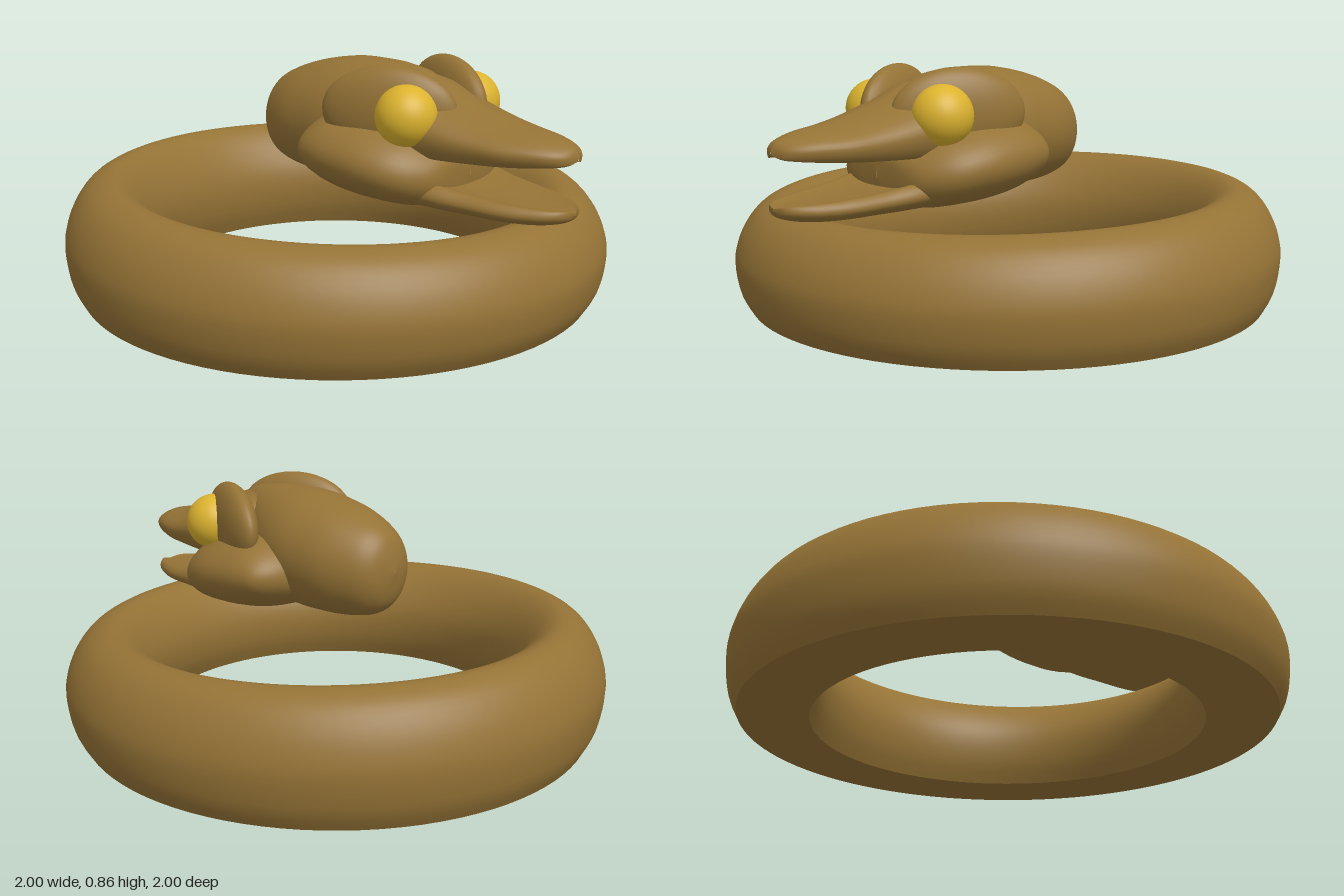
import * as THREE from 'three';
import { toCreasedNormals } from 'three/addons/utils/BufferGeometryUtils.js';

const skin = new THREE.MeshStandardMaterial({ color: 0x957336 });
skin.name = 'brown skin';
const yellow = new THREE.MeshStandardMaterial({ color: 0xdcb32f });
yellow.name = 'yellow eye';

function part(name, geometry, material = skin) {
  const mesh = new THREE.Mesh(geometry, material);
  mesh.name = name;
  return mesh;
}

// Smooth body along z. Each section is [z, halfWidth, yBottom, yTop].
// topPower / bottomPower: below 1 is boxy, above 1 is pinched.
// dentTop / dentBottom hollow out that side, as a share of the height.
function loft(sections, { topPower = 1, bottomPower = 1, dentTop = 0, dentBottom = 0 } = {}) {
  const widths = new THREE.CatmullRomCurve3(
    sections.map(([z, w]) => new THREE.Vector3(z, w, 0)), false, 'catmullrom', 0.5);
  const heights = new THREE.CatmullRomCurve3(
    sections.map(([z, , b, t]) => new THREE.Vector3(z, b, t)), false, 'catmullrom', 0.5);
  const rows = (sections.length - 1) * 6, cols = 48;
  const positions = [], index = [];
  for (let i = 0; i <= rows; i++) {
    const { x: z, y: w } = widths.getPoint(i / rows);
    const { y: low, z: high } = heights.getPoint(i / rows);
    for (let j = 0; j < cols; j++) {
      const a = (j / cols) * Math.PI * 2, c = Math.cos(a), s = Math.sin(a);
      const power = s > 0 ? topPower : bottomPower;
      const dent = s > 0 ? dentTop : dentBottom;
      const x = Math.max(w, 0) * Math.sign(c) * Math.abs(c) ** power;
      const hollow = dent * Math.max(0, 1 - (c / 0.75) ** 2);
      positions.push(x, (low + high) / 2 + ((high - low) / 2) * (s - Math.sign(s) * hollow), z);
      if (i < rows) {
        const p = i * cols + j, q = i * cols + ((j + 1) % cols);
        index.push(p, q, p + cols, q, q + cols, p + cols);
      }
    }
  }
  const geometry = new THREE.BufferGeometry();
  geometry.setAttribute('position', new THREE.Float32BufferAttribute(positions, 3));
  geometry.setIndex(index);
  geometry.computeVertexNormals();
  return geometry;
}

// Ring body with a flat base, slightly taller at the back
function coil() {
  const side = new THREE.SplineCurve([
    [0.95, 0], [0.985, 0.07], [1, 0.17], [0.99, 0.24], [0.96, 0.31], [0.91, 0.37], [0.84, 0.4],
    [0.78, 0.385], [0.72, 0.33], [0.675, 0.25], [0.66, 0.17], [0.67, 0.08], [0.7, 0],
  ].map(([r, y]) => new THREE.Vector2(r, y))).getPoints(40);
  const geometry = new THREE.LatheGeometry([new THREE.Vector2(0.7, 0), ...side], 96);
  const p = geometry.attributes.position;
  for (let i = 0; i < p.count; i++) p.setY(i, p.getY(i) * (1 - 0.08 * p.getZ(i)));
  return toCreasedNormals(geometry, 0.7);
}

export function createModel() {
  const model = new THREE.Group();
  model.add(part('coiledBody', coil()));

  // Rounded neck behind the head
  model.add(part('neck', loft([
    [-0.29, 0.001, 0.6, 0.61], [-0.275, 0.07, 0.52, 0.68], [-0.25, 0.115, 0.47, 0.73],
    [-0.2, 0.155, 0.435, 0.77], [-0.1, 0.2, 0.415, 0.81], [0, 0.217, 0.41, 0.835],
    [0.1, 0.22, 0.41, 0.85], [0.2, 0.2, 0.42, 0.852], [0.32, 0.15, 0.45, 0.845],
    [0.45, 0.08, 0.55, 0.81], [0.5, 0.001, 0.65, 0.7],
  ])));

  // Wide cheeks and back of the jaw
  model.add(part('cheeks', loft([
    [0.03, 0.001, 0.55, 0.57], [0.04, 0.2, 0.5, 0.62], [0.09, 0.31, 0.45, 0.67],
    [0.17, 0.347, 0.41, 0.71], [0.27, 0.357, 0.39, 0.71], [0.38, 0.35, 0.383, 0.69],
    [0.48, 0.315, 0.383, 0.655], [0.55, 0.25, 0.4, 0.61], [0.59, 0.16, 0.43, 0.57],
    [0.6, 0.001, 0.49, 0.52],
  ], { topPower: 0.9, bottomPower: 0.85 })));

  // Upper jaw: ridged snout with a hollow palate
  model.add(part('upperJaw', loft([
    [0.2, 0.001, 0.6, 0.7], [0.3, 0.19, 0.52, 0.82], [0.45, 0.22, 0.52, 0.81],
    [0.58, 0.205, 0.53, 0.755], [0.7, 0.18, 0.54, 0.715], [0.8, 0.16, 0.55, 0.69],
    [0.89, 0.125, 0.56, 0.675], [0.95, 0.09, 0.57, 0.658], [0.985, 0.05, 0.58, 0.64],
    [1, 0.001, 0.6, 0.615],
  ], { topPower: 1.35, bottomPower: 0.6, dentBottom: 0.5 })));

  // Lower jaw: shallow scoop with a raised rim
  model.add(part('lowerJaw', loft([
    [0.35, 0.001, 0.44, 0.46], [0.4, 0.2, 0.39, 0.52], [0.55, 0.215, 0.383, 0.515],
    [0.68, 0.185, 0.38, 0.49], [0.8, 0.16, 0.378, 0.475], [0.89, 0.125, 0.382, 0.465],
    [0.95, 0.09, 0.392, 0.458], [0.985, 0.05, 0.405, 0.45], [0.998, 0.001, 0.425, 0.435],
  ], { topPower: 0.6, bottomPower: 0.9, dentTop: 0.7 })));

  // Eyes under slanting brows
  for (const [side, label] of [[1, 'left'], [-1, 'right']]) {
    const eye = part(label + 'Eye', new THREE.SphereGeometry(0.105, 32, 24), yellow);
    eye.position.set(side * 0.187, 0.705, 0.465);
    const brow = part(label + 'Brow', new THREE.SphereGeometry(1, 32, 24));
    brow.scale.set(0.07, 0.155, 0.235);
    brow.rotation.y = -side * 0.42;
    brow.position.set(side * 0.17, 0.707, 0.38);
    model.add(eye, brow);
  }
  return model;
}
